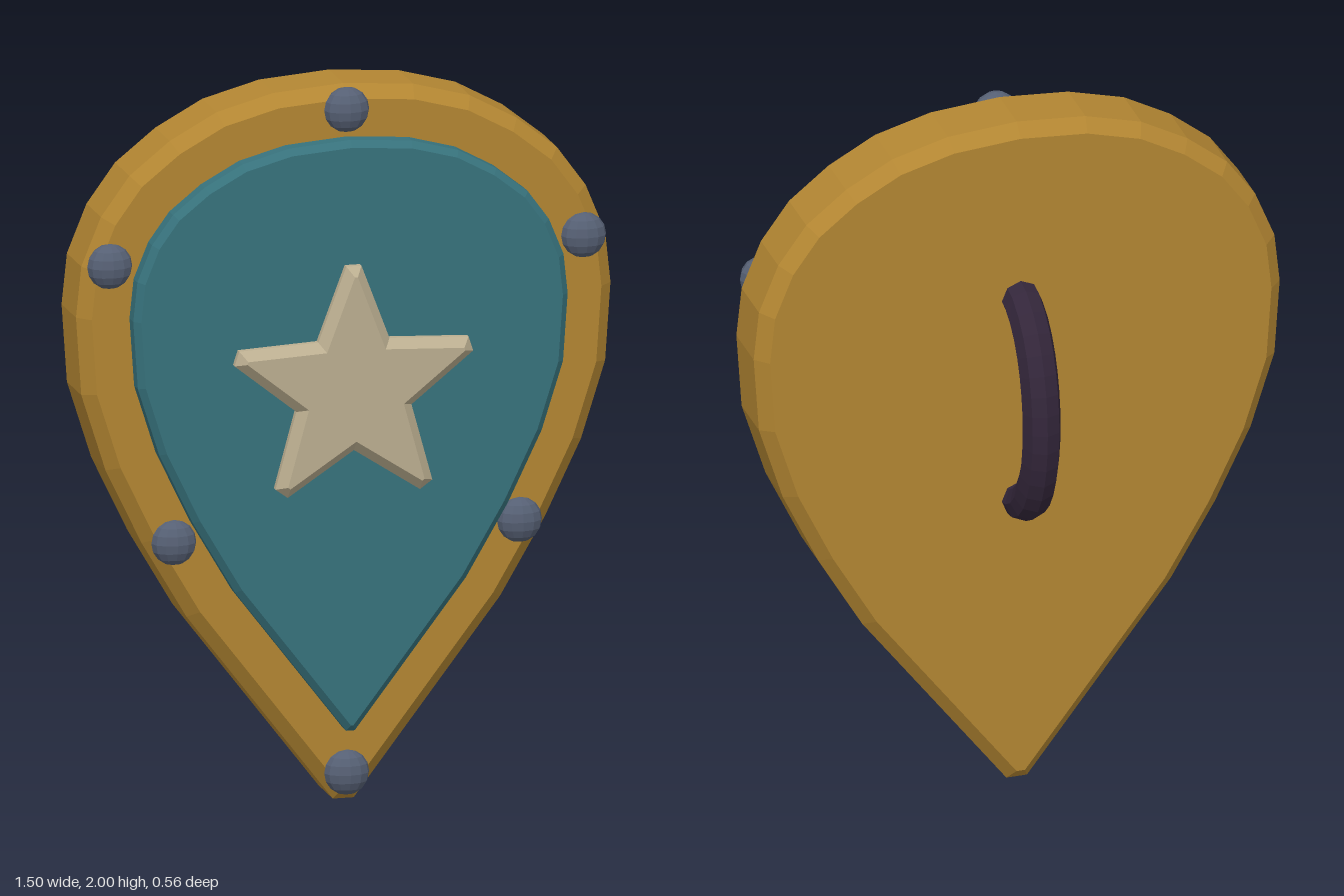
import * as THREE from 'three';

// Right half of the shield outline, from above the tip up to beside the crown
const SIDE = [
  [0.44, 0.535], [0.566, 0.75], [0.667, 0.96], [0.735, 1.175], [0.75, 1.393], [0.735, 1.535],
  [0.68, 1.67], [0.6, 1.78], [0.487, 1.87], [0.355, 1.942], [0.196, 1.985],
];

// Mitred inset of the whole outline; the tip is split into a pair of points
function insetOutline(d, tipWidth) {
  const pts = [[0, -0.04], ...SIDE, [0, 2], ...SIDE.map(([x, y]) => [-x, y]).reverse()]
    .map(([x, y]) => new THREE.Vector2(x, y));
  const n = pts.length;
  const normal = (a, b) => new THREE.Vector2(a.y - b.y, b.x - a.x).normalize();
  const inner = pts.map((p, i) => {
    const n1 = normal(pts[(i + n - 1) % n], p);
    const n2 = normal(p, pts[(i + 1) % n]);
    return n1.clone().add(n2).multiplyScalar(d / (1 + n1.dot(n2))).add(p);
  });
  const tip = inner.shift();
  const y = tip.y + tipWidth * 1.31;
  return [new THREE.Vector2(-tipWidth, y), new THREE.Vector2(tipWidth, y), ...inner];
}

// Bevelled slab between two z positions; the bevel grows outward from the points
function slab(name, points, back, front, bevelSize, bevelThickness, material) {
  const geometry = new THREE.ExtrudeGeometry(new THREE.Shape(points), {
    depth: front - back - 2 * bevelThickness,
    bevelEnabled: true, bevelSegments: 1, bevelSize, bevelThickness, steps: 1,
  });
  geometry.translate(0, 0, back + bevelThickness);
  const mesh = new THREE.Mesh(geometry, material);
  mesh.name = name;
  return mesh;
}

// Five-pointed star with narrow blunt tips
function starPoints(cy, outer, inner, blunt) {
  const pts = [];
  for (let i = 0; i < 5; i++) {
    const a = Math.PI / 2 + (i * 2 * Math.PI) / 5;
    const c = Math.cos(a), s = Math.sin(a);
    for (const side of [-blunt, blunt]) {
      pts.push(new THREE.Vector2(c * outer - s * side, cy + s * outer + c * side));
    }
    const b = a + Math.PI / 5;
    pts.push(new THREE.Vector2(Math.cos(b) * inner, cy + Math.sin(b) * inner));
  }
  return pts;
}

export function createModel() {
  const paint = (name, color) => {
    const m = new THREE.MeshStandardMaterial({ color, flatShading: true });
    m.name = name;
    return m;
  };
  const gold = paint('gold', 0xb38632);
  const teal = paint('teal', 0x37727c);
  const ivory = paint('ivory', 0xbbae90);
  const steel = paint('steel', 0x566074);
  const leather = paint('dark leather', 0x33263a);

  const model = new THREE.Group();
  model.name = 'shield';

  // Body, raised panel and star emblem
  model.add(slab('body', insetOutline(0.035, 0.012), -0.043, 0.18, 0.035, 0.036, gold));
  model.add(slab('panel', insetOutline(0.158, 0.003), 0.14, 0.238, 0.018, 0.018, teal));
  model.add(slab('star', starPoints(1.17, 0.32, 0.14, 0.004), 0.2, 0.283, 0.025, 0.027, ivory));

  // Rivets around the rim
  const rivetGeometry = new THREE.SphereGeometry(0.063, 12, 8);
  const rivets = new THREE.Group();
  rivets.name = 'rivets';
  for (const [x, y] of [[0, 1.935], [0.665, 1.54], [-0.665, 1.54], [0.485, 0.755], [-0.485, 0.755], [0, 0.08]]) {
    const rivet = new THREE.Mesh(rivetGeometry, steel);
    rivet.name = 'rivet';
    rivet.position.set(x, y, 0.18);
    rivet.scale.z = 0.7;
    rivets.add(rivet);
  }
  model.add(rivets);

  // Curved grip on the back
  const arc = [];
  for (let i = 0; i <= 12; i++) {
    const a = (i / 12) * Math.PI;
    arc.push(new THREE.Vector3(0, 1.17 + 0.31 * Math.cos(a), -0.02 - 0.205 * Math.sin(a)));
  }
  const handle = new THREE.Mesh(
    new THREE.TubeGeometry(new THREE.CatmullRomCurve3(arc), 16, 0.054, 8, false), leather);
  handle.name = 'handle';
  model.add(handle);

  return model;
}
